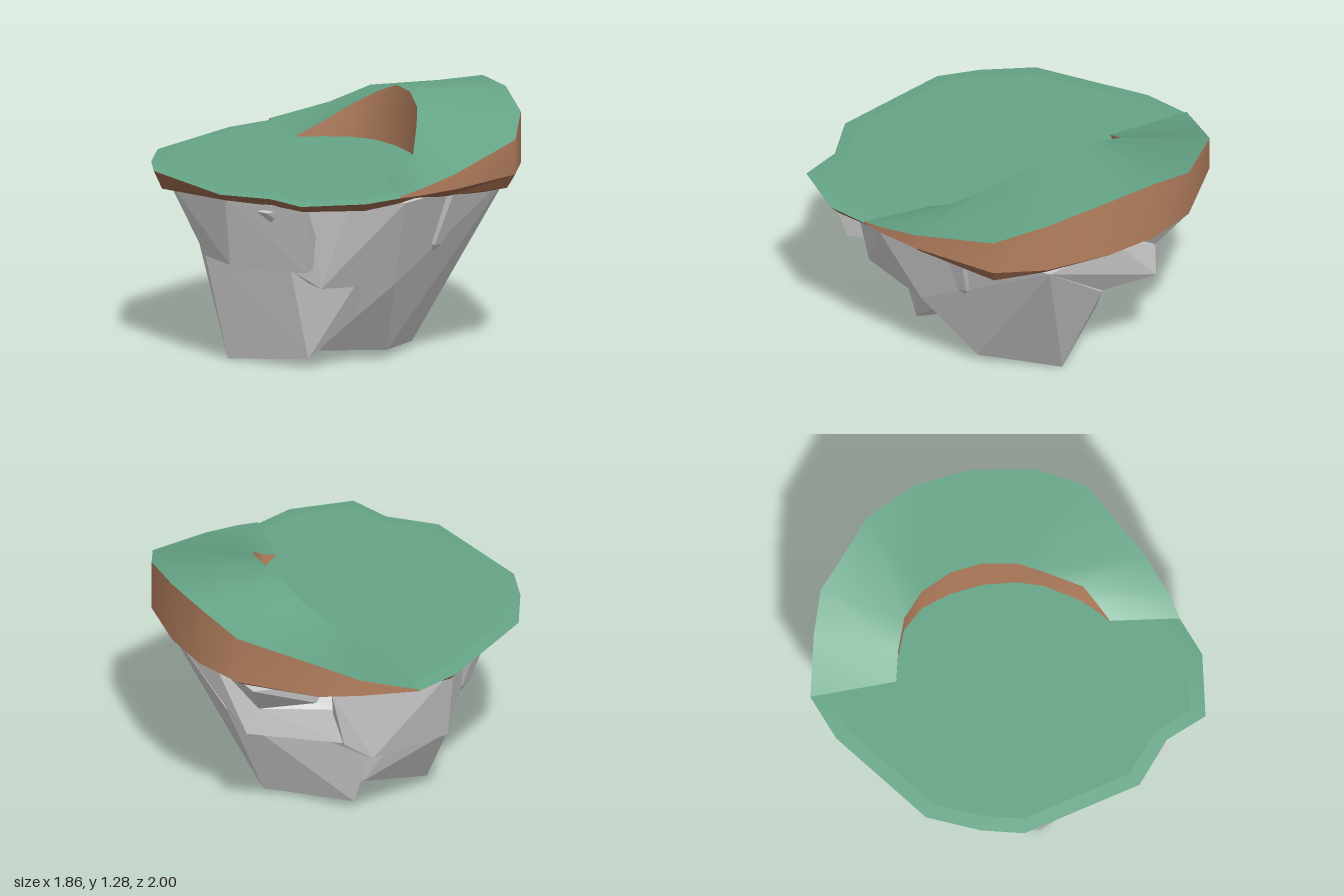
import * as THREE from 'three';
import { ConvexGeometry } from 'three/addons/geometries/ConvexGeometry.js';

const V = (p) => new THREE.Vector3(...p);

// Surface through rows of points that all have the same count
function loft(rows, closed) {
  const n = rows[0].length, index = [];
  for (let r = 0; r < rows.length - 1; r++) {
    for (let i = 0; i < (closed ? n : n - 1); i++) {
      const j = (i + 1) % n, a = r * n + i, b = r * n + j;
      index.push(a, b, a + n, b, b + n, a + n);
    }
  }
  const g = new THREE.BufferGeometry();
  g.setAttribute('position', new THREE.Float32BufferAttribute(rows.flat(2), 3));
  g.setIndex(index);
  g.computeVertexNormals();
  return g;
}

// Outer edge, seen from above, clockwise from the back: x, top height, z
const outline = [
  [-0.28, 0.97, -0.995], [0.02, 1.05, -1], [0.23, 1.14, -0.98], [0.61, 1.21, -0.77],
  [0.77, 1.28, -0.55], [0.87, 1.28, -0.29], [0.925, 1.225, 0.05], [0.88, 1.14, 0.32],
  [0.56, 1.04, 0.64], [0.38, 0.995, 0.77], [0.27, 0.97, 0.83], [0.09, 0.96, 0.955],
  [-0.24, 0.96, 0.995], [-0.38, 0.96, 0.81], [-0.63, 0.96, 0.69], [-0.93, 0.96, 0.13],
  [-0.93, 0.96, -0.09], [-0.88, 0.96, -0.37], [-0.66, 0.96, -0.64], [-0.49, 0.96, -0.85],
];
// Inner cliff edge of the crescent hill, paired with the first points of the outline
const ridge = [
  [-0.17, 0.975, -0.57], [-0.03, 1.05, -0.57], [0.11, 1.14, -0.55], [0.23, 1.22, -0.47],
  [0.32, 1.285, -0.33], [0.38, 1.285, -0.17], [0.405, 1.245, 0], [0.395, 1.18, 0.13],
  [0.365, 1.08, 0.335], [0.3, 1.02, 0.41], [0.23, 0.975, 0.48],
];
const ring = (s, y) => outline.map(([x, , z], i) => [x * s, typeof y === 'function' ? y(i) : y, z * s]);

export function createModel() {
  const group = new THREE.Group();
  const sheet = (color, flatShading = false) =>
    new THREE.MeshStandardMaterial({ color, flatShading, side: THREE.DoubleSide });
  const grass = sheet(0x66a587);
  const earth = sheet(0xb5805f);
  const darkEarth = sheet(0x94644a, true);
  const stone = new THREE.MeshStandardMaterial({ color: 0xcccccc, flatShading: true });
  const add = (name, geometry, material) => {
    const mesh = new THREE.Mesh(geometry, material);
    mesh.name = name;
    group.add(mesh);
  };

  // Level meadow with a softly dropped rim
  const shape = new THREE.Shape(outline.map(([x, , z]) => new THREE.Vector2(x * 0.92, -z * 0.92)));
  const meadow = new THREE.ShapeGeometry(shape).rotateX(-Math.PI / 2).translate(0, 0.97, 0);
  add('meadow', meadow, grass);
  add('meadowRim', loft([ring(1, 0.961), ring(0.92, 0.97)], true), grass);

  // Crescent hill: grassy slope, inner cliff and outer bank
  const crest = outline.slice(0, ridge.length);
  add('hillSlope', loft([crest, ridge], false), grass);
  const footShift = { 8: 0.035, 9: 0.02 };
  const cliffFoot = ridge.map(([x, , z], i) => [x - (footShift[i] ?? 0), 0.965, z - (footShift[i] ?? 0) * 0.4]);
  add('innerCliff', loft([ridge, cliffFoot], false), earth);
  add('outerBank', loft([crest.map(([x, , z]) => [x, 0.961, z]), crest], false), earth);

  // Earth layer under the grass, with uneven lumps hanging from it
  const low = { 3: 0.9, 6: 0.895, 7: 0.86, 8: 0.895, 15: 0.865, 16: 0.87 };
  const hang = (i) => low[i] ?? (i % 2 ? 0.915 : 0.922);
  add('earthLayer', loft([
    ring(0, 0.91), ring(0.72, 0.915), ring(0.82, hang),
    ring(0.955, (i) => hang(i) + (i < 10 ? 0.03 : 0.003)), ring(1, 0.961),
  ], true), darkEarth);

  // Rocks below, each a convex chunk
  const rocks = {
    mainRock: [
      [0.3, 0.92, 0.76], [0.86, 0.89, 0.02], [0.6, 0.56, -0.32], [-0.13, 0.56, -0.62],
      [0.26, 0.45, 0.53], [0.24, 0.045, 0.23], [0.39, 0, -0.17],
      [-0.03, 0.05, -0.46], [-0.12, 0.055, 0.27], [-0.1, 0.9, 0.2], [0.2, 0.9, -0.4],
    ],
    leftRock: [
      [-0.68, 0.56, 0.3], [-0.27, 0.56, 0.55], [-0.17, 0.46, 0.53], [-0.17, 0.05, 0.44],
      [0.12, 0.3, 0.4], [0.07, 0.46, 0.52], [-0.56, 0, 0.18], [-0.43, 0.05, -0.25],
      [-0.1, 0.06, -0.28], [-0.49, 0.46, -0.55], [-0.5, 0.92, -0.72],
      [-0.78, 0.92, 0], [-0.1, 0.9, -0.2], [-0.2, 0.92, 0.5],
    ],
    frontLeftRock: [
      [-0.86, 0.925, 0.2], [-0.6, 0.925, 0.62], [-0.2, 0.92, 0.9], [-0.68, 0.56, 0.3],
      [-0.57, 0.56, 0.52], [-0.21, 0.57, 0.79], [-0.1, 0.575, 0.6], [-0.2, 0.9, 0.5], [-0.3, 0.6, 0.2],
    ],
    frontRock: [
      [-0.2, 0.92, 0.78], [0.02, 0.92, 0.8], [0.3, 0.92, 0.76], [0.26, 0.45, 0.53],
      [-0.12, 0.47, 0.7], [-0.27, 0.56, 0.68], [-0.17, 0.46, 0.53], [0, 0.6, 0.2],
    ],
    backRightRock: [
      [0.86, 0.89, 0.02], [0.68, 0.89, -0.38], [0.48, 0.72, -0.63], [0.54, 0.575, -0.62],
      [0.6, 0.57, -0.32], [0.07, 0.57, -0.78], [0.1, 0.75, -0.75], [0, 0.9, -0.5],
      [-0.1, 0.57, -0.6], [0.2, 0.6, 0],
    ],
    backPeak: [
      [0.53, 0.91, -0.79], [0.68, 0.91, -0.45], [0.48, 0.72, -0.63], [0.2, 0.78, -0.72],
      [0.15, 0.91, -0.74], [0.3, 0.9, -0.3],
    ],
    backRock: [
      [0.14, 0.89, -0.84], [0.07, 0.57, -0.79], [0.1, 0.57, -0.66], [-0.5, 0.92, -0.72],
      [-0.49, 0.46, -0.57], [-0.08, 0.465, -0.77], [-0.13, 0.5, -0.5], [0.1, 0.9, -0.5],
    ],
    backLedge: [
      [-0.05, 0.57, -0.77], [-0.08, 0.465, -0.77], [-0.49, 0.46, -0.57],
      [0.25, 0.52, -0.53], [0.07, 0.57, -0.7], [-0.15, 0.46, -0.48],
    ],
  };
  for (const [name, points] of Object.entries(rocks)) {
    add(name, new ConvexGeometry(points.map(V)), stone);
  }

  // Small hanging splinters: a slanted four-sided prism with a pointed end
  const splinter = (name, top, tip, w) => {
    const pts = [V(tip)];
    for (const [x, z] of [[w, 0], [-w, 0], [0, w], [0, -w]]) {
      pts.push(V([top[0] + x, top[1], top[2] + z]));
      pts.push(V([tip[0] + x * 0.7, tip[1] + 0.04, tip[2] + z * 0.7]));
    }
    add(name, new ConvexGeometry(pts), stone);
  };
  splinter('rightSplinter', [0.56, 0.9, 0.42], [0.47, 0.58, 0.36], 0.055);
  splinter('leftSplinter', [-0.65, 0.92, -0.45], [-0.59, 0.58, -0.34], 0.055);
  splinter('frontSplinter', [-0.4, 0.89, 0.77], [-0.36, 0.81, 0.73], 0.05);

  return group;
}
